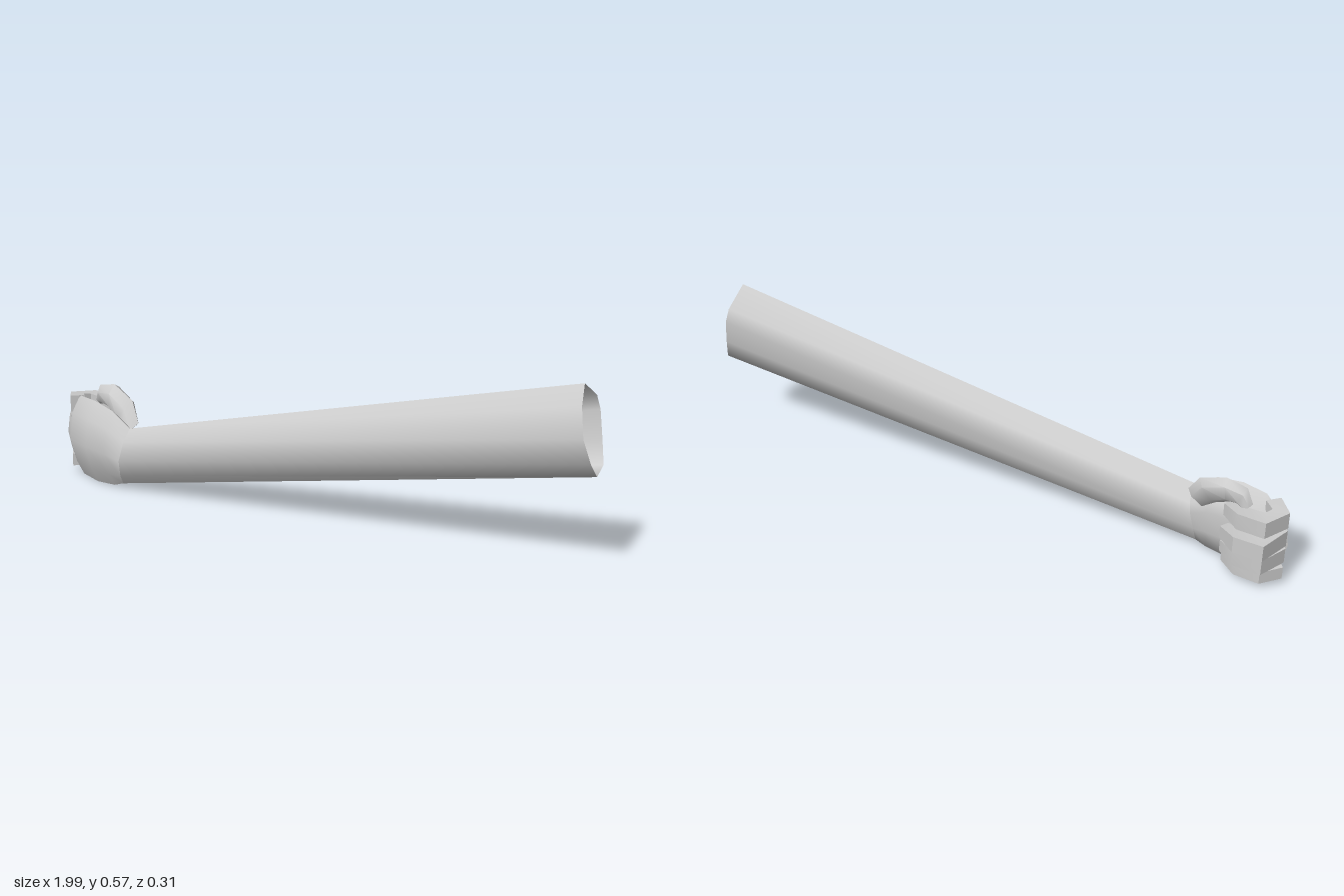
import * as THREE from 'three';
import { toCreasedNormals } from 'three/addons/utils/BufferGeometryUtils.js';

const material = new THREE.MeshStandardMaterial({ color: 0xcccccc, side: THREE.DoubleSide });

// Slightly irregular limb outline: [front/back, up/down], from the top round the front
const LIMB = [[0.17, 1], [0.72, 0.58], [0.99, -0.07], [0.6, -0.66], [0.17, -1],
  [-0.6, -0.86], [-0.8, -0.36], [-1, 0.29], [-0.84, 0.62]];
const SQUARE = [[-1, 1], [1, 1], [1, -1], [-1, -1]];
const HEX = [0, 1, 2, 3, 4, 5].map(i => [Math.sin(i * Math.PI / 3), Math.cos(i * Math.PI / 3)]);

// Places an outline at a centre, spanned by the vectors u and v
function section(outline, c, u, v) {
  return outline.map(([n, m]) => c.map((value, k) => value + n * u[k] + m * v[k]));
}

// Skins a run of sections, with optional caps at the start and end
function loft(name, rings, capStart, capEnd, crease) {
  const n = rings[0].length;
  const points = rings.flat();
  const index = [];
  for (let i = 0; i < rings.length - 1; i++) {
    for (let k = 0; k < n; k++) {
      const a = i * n + k, b = i * n + (k + 1) % n;
      index.push(a, a + n, b, b, a + n, b + n);
    }
  }
  const last = (rings.length - 1) * n;
  for (let k = 1; k < n - 1; k++) {
    if (capStart) index.push(0, k, k + 1);
    if (capEnd) index.push(last, last + k + 1, last + k);
  }
  const geometry = new THREE.BufferGeometry();
  geometry.setAttribute('position', new THREE.Float32BufferAttribute(points.flat(), 3));
  geometry.setIndex(index);
  const mesh = new THREE.Mesh(toCreasedNormals(geometry, crease), material);
  mesh.name = name;
  return mesh;
}

function createFinger(name, y, halfHeight, reach) {
  // Curls from the knuckle round behind the palm: x, z, half thickness
  const path = [[-0.93, -0.01, 0.025], [-0.965, -0.055, 0.027], [-0.93, reach + 0.028, 0.027],
    [-0.855, reach + 0.042, 0.024], [-0.8, reach + 0.085, 0.016]];
  const rings = path.map(([x, z, t], i) => {
    const p = path[Math.max(i - 1, 0)], q = path[Math.min(i + 1, path.length - 1)];
    const dx = q[0] - p[0], dz = q[1] - p[1], length = Math.hypot(dx, dz);
    const h = halfHeight * (i === 4 ? 0.75 : 1);
    return section(SQUARE, [x, y - 0.004 * i + 0.008, z],
      [dz / length * t, 0, -dx / length * t], [0, h, 0]);
  });
  return loft(name, rings, true, true, 0.6);
}

export function createModel() {
  const model = new THREE.Group();
  model.name = 'arm';

  // Forearm: a long tapering tube, open at the elbow end
  const wrist = section(LIMB, [-0.677, 0.12, 0.055], [0, 0, 0.056], [0.017, 0.1, 0]);
  const elbow = section(LIMB, [0.97, 0.435, 0.074], [0, 0, 0.086], [-0.025, 0.137, 0]);
  model.add(loft('forearm', [elbow, wrist], false, false, 1.2));

  const hand = new THREE.Group();
  hand.name = 'hand';
  model.add(hand);

  // Palm and back of the hand, bending towards the knuckles: x, y, z, half height, half depth, turn
  const palm = [[-0.735, 0.138, 0.046, 0.132, 0.06, 0.15], [-0.82, 0.145, 0.024, 0.145, 0.06, 0.3],
    [-0.9, 0.15, -0.005, 0.142, 0.054, 0.65], [-0.965, 0.15, -0.045, 0.1, 0.032, 1.15]];
  const rings = palm.map(([x, y, z, h, d, turn]) =>
    section(LIMB, [x, y, z], [-Math.sin(turn) * d, 0, Math.cos(turn) * d], [0, h, 0]));
  hand.add(loft('palm', [wrist, ...rings], false, true, 1.2));

  // Four curled fingers: name, height, half height, furthest z
  const fingers = [['indexFinger', 0.25, 0.029, -0.13], ['middleFinger', 0.182, 0.029, -0.158],
    ['ringFinger', 0.115, 0.027, -0.14], ['littleFinger', 0.046, 0.022, -0.104]];
  fingers.forEach(f => hand.add(createFinger(...f)));

  // Thumb arching over the top of the fist: x, y, z, half depth, half thickness, lean
  const thumb = [[-0.69, 0.2, 0.02, 0.03, 0.045, 0.9], [-0.725, 0.258, -0.005, 0.035, 0.05, 0.65],
    [-0.79, 0.296, -0.03, 0.036, 0.044, 0.1], [-0.84, 0.295, -0.042, 0.032, 0.036, -0.4],
    [-0.862, 0.27, -0.055, 0.02, 0.02, -0.9]];
  const thumbRings = thumb.map(([x, y, z, d, t, lean]) =>
    section(HEX, [x, y, z], [0, -d * 0.2, d], [Math.sin(lean) * t, Math.cos(lean) * t, 0]));
  hand.add(loft('thumb', thumbRings, true, true, 0.9));

  return model;
}
